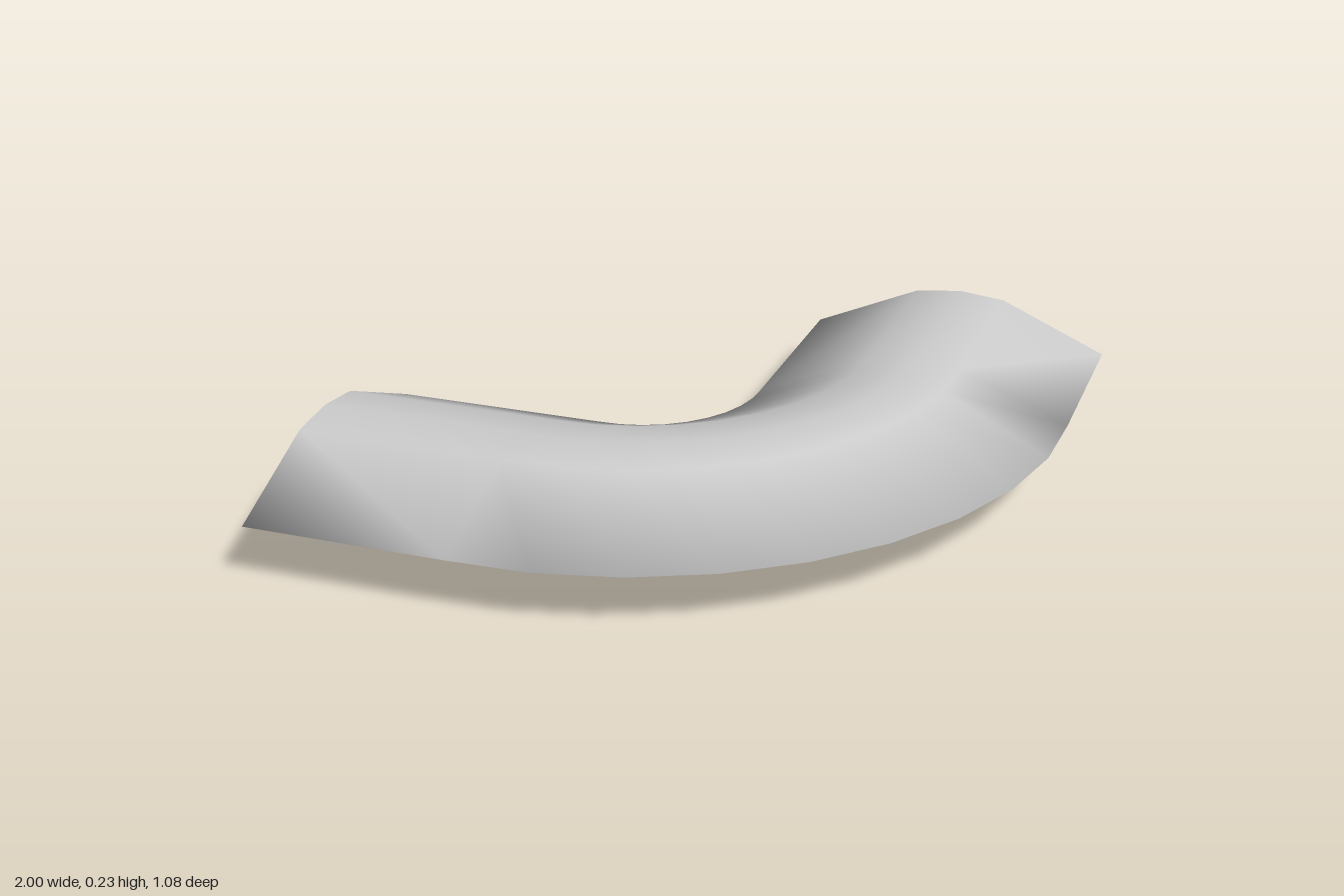
import * as THREE from 'three';

// Half of the flattened duct section: [offset from centreline, height]
const HALF_W = 0.34, HALF_H = 0.115;
const SECTION = [
  [HALF_W, 0], [0.103, 0.104], [0, HALF_H], [-0.103, 0.104],
  [-HALF_W, 0], [-0.103, -0.104], [0, -HALF_H], [0.103, -0.104],
];
const BEND_RADIUS = 0.603, BEND_CENTER_Z = -0.399, HALF_STEP = 5.3;

// Cross-section stations along the path: centre (x, z) and outward angle
function stations() {
  const list = [{ x: -0.76, z: -0.304, angle: -Math.PI / 4 }];
  for (let i = -9; i <= 9; i += 2) {
    const angle = THREE.MathUtils.degToRad(i * HALF_STEP);
    list.push({
      x: BEND_RADIUS * Math.sin(angle),
      z: BEND_CENTER_Z + BEND_RADIUS * Math.cos(angle),
      angle,
    });
  }
  list.push({ x: 0.76, z: -0.304, angle: Math.PI / 4 });
  return list;
}

// Skin the sections into one smooth, open-ended shell
function ductGeometry() {
  const rings = stations(), n = SECTION.length;
  const positions = [], indices = [];
  for (const { x, z, angle } of rings) {
    for (const [offset, height] of SECTION) {
      positions.push(x + offset * Math.sin(angle), HALF_H + height, z + offset * Math.cos(angle));
    }
  }
  for (let i = 0; i < rings.length - 1; i++) {
    for (let k = 0; k < n; k++) {
      const a = i * n + k, d = i * n + (k + 1) % n;
      indices.push(a, a + n, d, a + n, d + n, d);
    }
  }
  const geometry = new THREE.BufferGeometry();
  geometry.setAttribute('position', new THREE.Float32BufferAttribute(positions, 3));
  geometry.setIndex(indices);
  geometry.computeVertexNormals();
  return geometry;
}

export function createModel() {
  const group = new THREE.Group();
  group.name = 'ductElbow';
  const material = new THREE.MeshStandardMaterial({ color: 0xcccccc, side: THREE.DoubleSide });
  const shell = new THREE.Mesh(ductGeometry(), material);
  shell.name = 'bentDuctShell';
  group.add(shell);
  return group;
}
